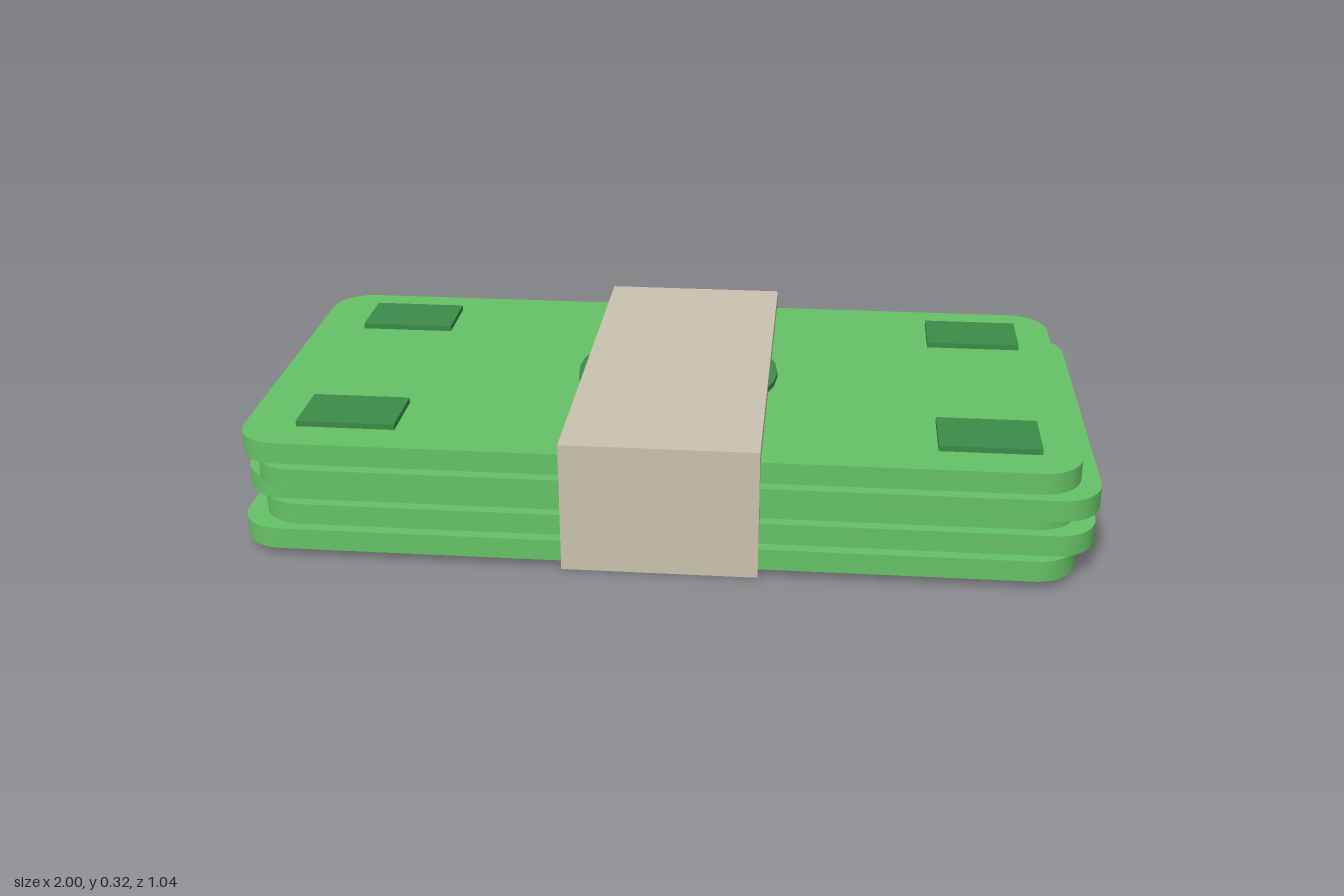
import * as THREE from 'three';
import { toCreasedNormals } from 'three/addons/utils/BufferGeometryUtils.js';

const WIDTH = 1.957, DEPTH = 0.978, THICK = 0.052, RADIUS = 0.1, BASE = 0.022;

// Rounded rectangle slab lying flat, with its underside on y = 0
function noteGeometry() {
  const x = WIDTH / 2, y = DEPTH / 2, r = RADIUS;
  const shape = new THREE.Shape();
  shape.absarc(x - r, y - r, r, 0, Math.PI / 2);
  shape.absarc(-x + r, y - r, r, Math.PI / 2, Math.PI);
  shape.absarc(-x + r, -y + r, r, Math.PI, Math.PI * 1.5);
  shape.absarc(x - r, -y + r, r, Math.PI * 1.5, Math.PI * 2);
  const geometry = new THREE.ExtrudeGeometry(shape, { depth: THICK, bevelEnabled: false, curveSegments: 8 });
  geometry.rotateX(-Math.PI / 2);
  return toCreasedNormals(geometry, 0.6);
}

export function createModel() {
  const model = new THREE.Group();
  model.name = 'banknoteBundle';

  const green = new THREE.MeshStandardMaterial({ color: 0x66c266 });
  green.name = 'note green';
  const darkGreen = new THREE.MeshStandardMaterial({ color: 0x3c8c48 });
  darkGreen.name = 'print dark green';
  const paper = new THREE.MeshStandardMaterial({ color: 0xc9c2ae });
  paper.name = 'band beige';

  const add = (name, geometry, material, x, y, z) => {
    const mesh = new THREE.Mesh(geometry, material);
    mesh.name = name;
    mesh.position.set(x, y, z);
    model.add(mesh);
  };

  // Five loosely stacked notes, shifted alternately
  const note = noteGeometry();
  [0.028, 0, -0.027, 0.028, 0].forEach((z, i) => {
    add(`note${i + 1}`, note, green, i % 2 ? 0.0215 : -0.0215, BASE + i * THICK, z);
  });

  // Raised print on the top note: four corner patches and a central medallion
  const top = BASE + 5 * THICK;
  const patch = new THREE.BoxGeometry(0.236, 0.014, 0.157);
  for (const sx of [-1, 1]) {
    for (const sz of [-1, 1]) {
      add('cornerPatch', patch, darkGreen, -0.003 + sx * 0.752, top + 0.007, sz * 0.314);
    }
  }
  add('medallion', new THREE.CylinderGeometry(0.25, 0.25, 0.014, 28), darkGreen, -0.003, top + 0.007, 0);

  // Paper band around the middle
  add('paperBand', new THREE.BoxGeometry(0.458, 0.32, 1.036), paper, -0.001, 0.16, 0);

  return model;
}
